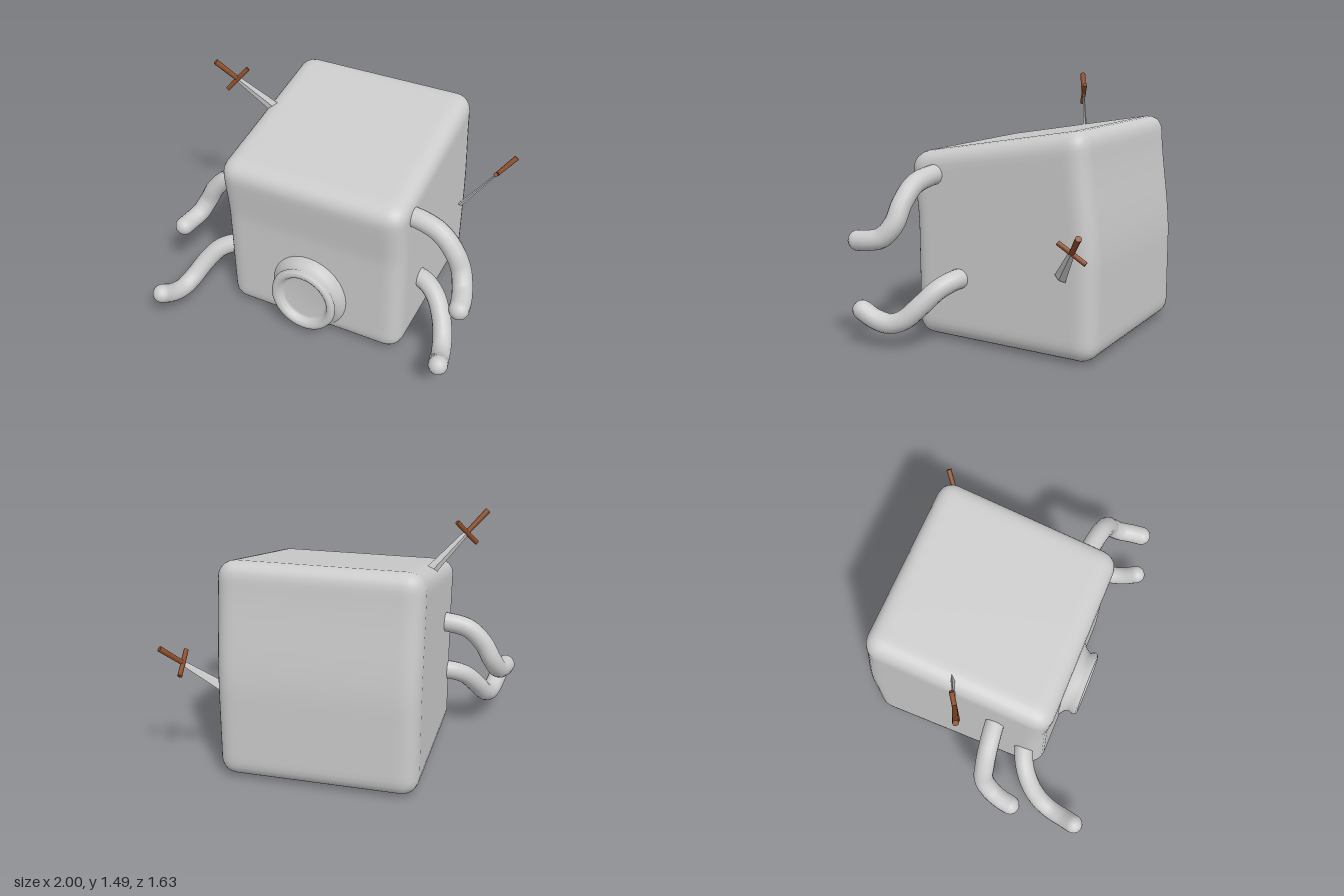
import * as THREE from 'three';
import { mergeVertices } from 'three/addons/utils/BufferGeometryUtils.js';

const grey = new THREE.MeshStandardMaterial({ color: 0xcccccc });
const steel = new THREE.MeshStandardMaterial({ color: 0xcccccc, flatShading: true });
const wood = new THREE.MeshStandardMaterial({ color: 0x8a4b28 });
const V = (a) => new THREE.Vector3(...a);

function mesh(name, geometry, material = grey) {
  const m = new THREE.Mesh(geometry, material);
  m.name = name;
  return m;
}

// Rounded cube with a top that rises towards the back
function body() {
  let g = new THREE.BoxGeometry(1.155, 1.24, 1.155, 36, 36, 36);
  g.translate(-0.0125, 0.62, -0.1675);
  g.deleteAttribute('uv');
  g.deleteAttribute('normal');
  g = mergeVertices(g);
  const r = 0.1;
  const lo = V([-0.59 + r, r, -0.745 + r]);
  const hi = V([0.565 - r, 1.24 - r, 0.41 - r]);
  const pos = g.attributes.position;
  const p = new THREE.Vector3();
  for (let i = 0; i < pos.count; i++) {
    p.fromBufferAttribute(pos, i);
    const q = p.clone().clamp(lo, hi);
    p.sub(q).setLength(r).add(q);
    // slope the top, flare the upper front and lean the upper back
    const height = 1.14 - 0.168 * p.z;
    p.y *= 1 - (1 - height / 1.24) * Math.min(1, p.y / 0.9);
    const t = (p.z + 0.745) / 1.155;
    p.z += t * 0.03 * THREE.MathUtils.smoothstep(p.y, 0.65, 1.02);
    p.z += (1 - t) * 0.065 * THREE.MathUtils.smoothstep(p.y, 0.5, 1.25);
    pos.setXYZ(i, p.x, p.y, p.z);
  }
  g.computeVertexNormals();
  return mesh('body', g);
}

// Oval mouth: flared base, neck, rolled lip and recessed centre
function mouth() {
  const profile = [
    [0.275, 0.38], [0.24, 0.415], [0.21, 0.44], [0.198, 0.465], [0.212, 0.49], [0.205, 0.51],
    [0.182, 0.518], [0.162, 0.505], [0.15, 0.482], [0.135, 0.474], [0, 0.472],
  ].map(([x, y]) => new THREE.Vector2(x, y));
  const g = new THREE.LatheGeometry(profile, 32);
  g.rotateX(Math.PI / 2);
  g.scale(1, 1.08, 1);
  g.translate(-0.02, 0.29, 0);
  return mesh('mouth', g);
}

// Curved limb with a rounded end
function limb(name, points, side, dy, dz) {
  const group = new THREE.Group();
  group.name = name;
  const path = points.map(([x, y, z]) => V([x * side, y + dy, z + dz]));
  const curve = new THREE.CatmullRomCurve3(path);
  group.add(mesh('limbTube', new THREE.TubeGeometry(curve, 36, 0.058, 14)));
  const cap = mesh('limbTip', new THREE.SphereGeometry(0.058, 14, 10));
  cap.position.copy(path[path.length - 1]);
  group.add(cap);
  return group;
}

// Sword stuck in the body: local y runs to the pommel, x along the guard
function sword(name, centre, pommel, guardEnd) {
  const group = new THREE.Group();
  group.name = name;
  const up = V(pommel).sub(V(centre));
  const gripLength = up.length();
  up.normalize();
  const across = V(guardEnd).sub(V(centre));
  across.addScaledVector(up, -across.dot(up)).normalize();
  const normal = across.clone().cross(up);
  group.quaternion.setFromRotationMatrix(new THREE.Matrix4().makeBasis(across, up, normal));
  group.position.copy(V(centre));

  const grip = mesh('grip', new THREE.CylinderGeometry(0.017, 0.014, gripLength, 10), wood);
  grip.position.y = gripLength / 2;
  const guard = mesh('guard', new THREE.CylinderGeometry(0.014, 0.014, 0.18, 8), wood);
  guard.rotation.z = Math.PI / 2;
  const blade = mesh('blade', new THREE.CylinderGeometry(0.017, 0.036, 0.31, 4), steel);
  blade.scale.z = 0.35;
  blade.position.y = -0.155;
  group.add(grip, guard, blade);
  return group;
}

export function createModel() {
  const model = new THREE.Group();
  model.name = 'cubeCreature';
  model.add(body(), mouth());

  const upper = [
    [0.5, 0.965, 0.25], [0.61, 0.96, 0.257], [0.73, 0.925, 0.272], [0.82, 0.835, 0.285],
    [0.875, 0.73, 0.3], [0.91, 0.655, 0.36], [0.932, 0.637, 0.43], [0.942, 0.632, 0.495],
  ];
  const lower = [
    [0.5, 0.38, 0.075], [0.6, 0.375, 0.1], [0.69, 0.335, 0.15], [0.76, 0.25, 0.22],
    [0.805, 0.17, 0.3], [0.83, 0.14, 0.38], [0.85, 0.158, 0.47], [0.87, 0.205, 0.545],
  ];
  model.add(
    limb('leftArm', upper, 1, 0, 0),
    limb('rightArm', upper, -1, -0.205, -0.14),
    limb('leftLeg', lower, 1, 0, 0),
    limb('rightLeg', lower, -1, 0, 0.205),
  );

  model.add(
    sword('topSword', [-0.715, 1.35, -0.045], [-0.82, 1.47, 0.015], [-0.667, 1.415, -0.078]),
    sword('backSword', [0.75, 0.67, -0.72], [0.845, 0.775, -0.805], [0.765, 0.725, -0.645]),
  );
  return model;
}
